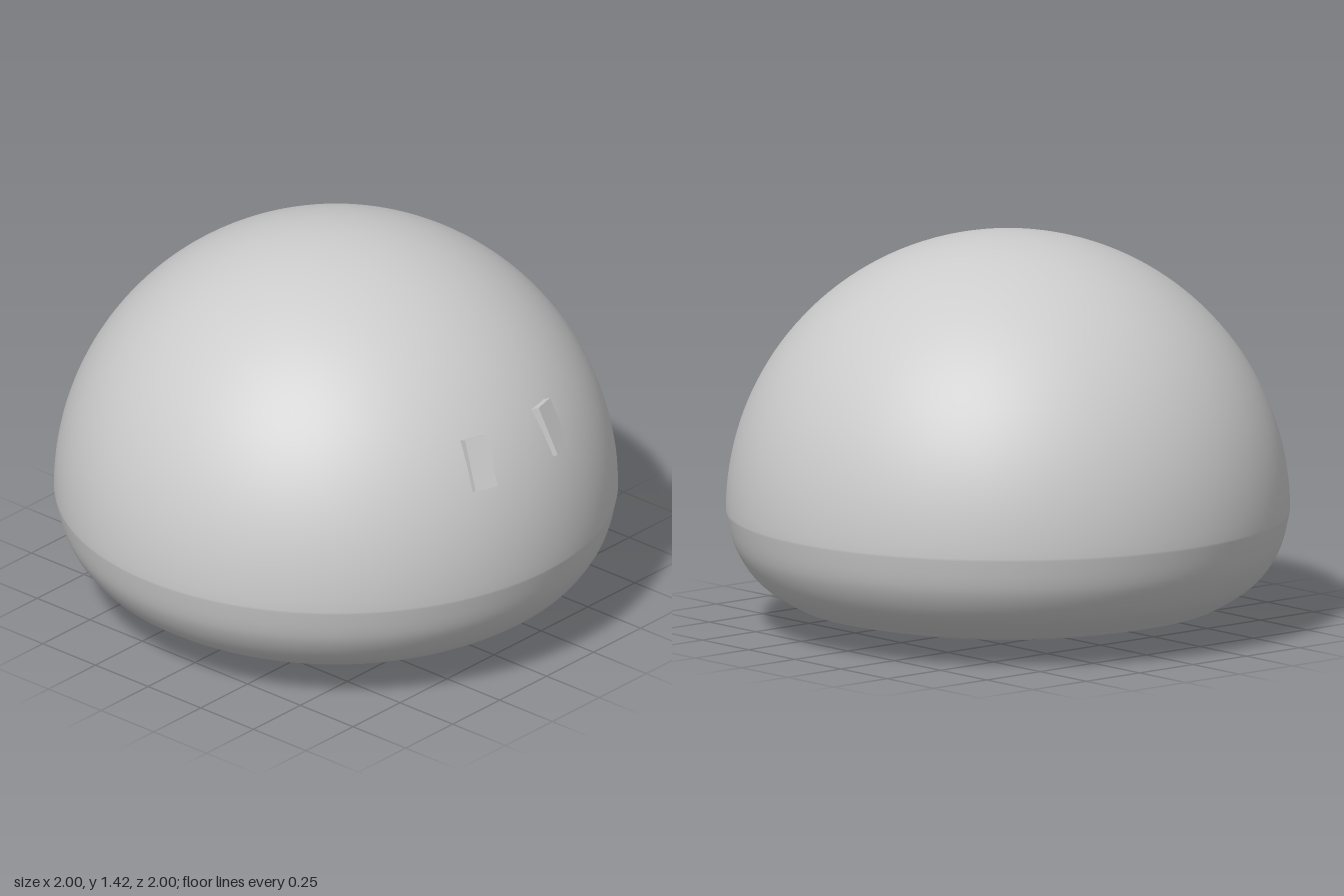
import * as THREE from 'three';

const material = new THREE.MeshStandardMaterial({ color: 0xcccccc });
const SEGMENTS = 96;

function addLathe(group, name, points) {
  const mesh = new THREE.Mesh(new THREE.LatheGeometry(points, SEGMENTS), material);
  mesh.name = name;
  group.add(mesh);
}

// Thin block lying against the dome, turned by yaw and leaning back with the surface
function addEye(group, name, x, yaw) {
  const eye = new THREE.Mesh(new THREE.BoxGeometry(0.089, 0.186, 0.04), material);
  eye.name = name;
  eye.position.set(x, 0.887, 0.869);
  eye.rotation.set(THREE.MathUtils.degToRad(-24), THREE.MathUtils.degToRad(yaw), 0, 'YXZ');
  group.add(eye);
}

export function createModel() {
  const group = new THREE.Group();
  group.name = 'domeCreature';

  // Body: rounded lower rim rising into a hemisphere
  const rim = new THREE.SplineCurve([
    [0.765, 0.1], [0.83, 0.137], [0.888, 0.18], [0.93, 0.23],
    [0.962, 0.285], [0.98, 0.335], [0.993, 0.39], [1, 0.425],
  ].map(([x, y]) => new THREE.Vector2(x, y))).getPoints(21);
  const dome = [];
  for (let i = 1; i <= 40; i++) {
    const a = (i / 40) * Math.PI / 2;
    dome.push(new THREE.Vector2(i === 40 ? 0 : Math.cos(a), 0.425 + 0.995 * Math.sin(a)));
  }
  addLathe(group, 'body', [...rim, ...dome]);

  // Underside: shallow bowl meeting the body at a crease
  const bowl = [];
  for (let i = 0; i <= 16; i++) {
    const r = 0.765 * i / 16;
    bowl.push(new THREE.Vector2(r, 0.003 + 0.097 * (r / 0.765) ** 2));
  }
  addLathe(group, 'underside', bowl);

  // Eyes: slightly uneven pair
  addEye(group, 'leftEye', 0.161, 15);
  addEye(group, 'rightEye', -0.214, -18.5);

  return group;
}
